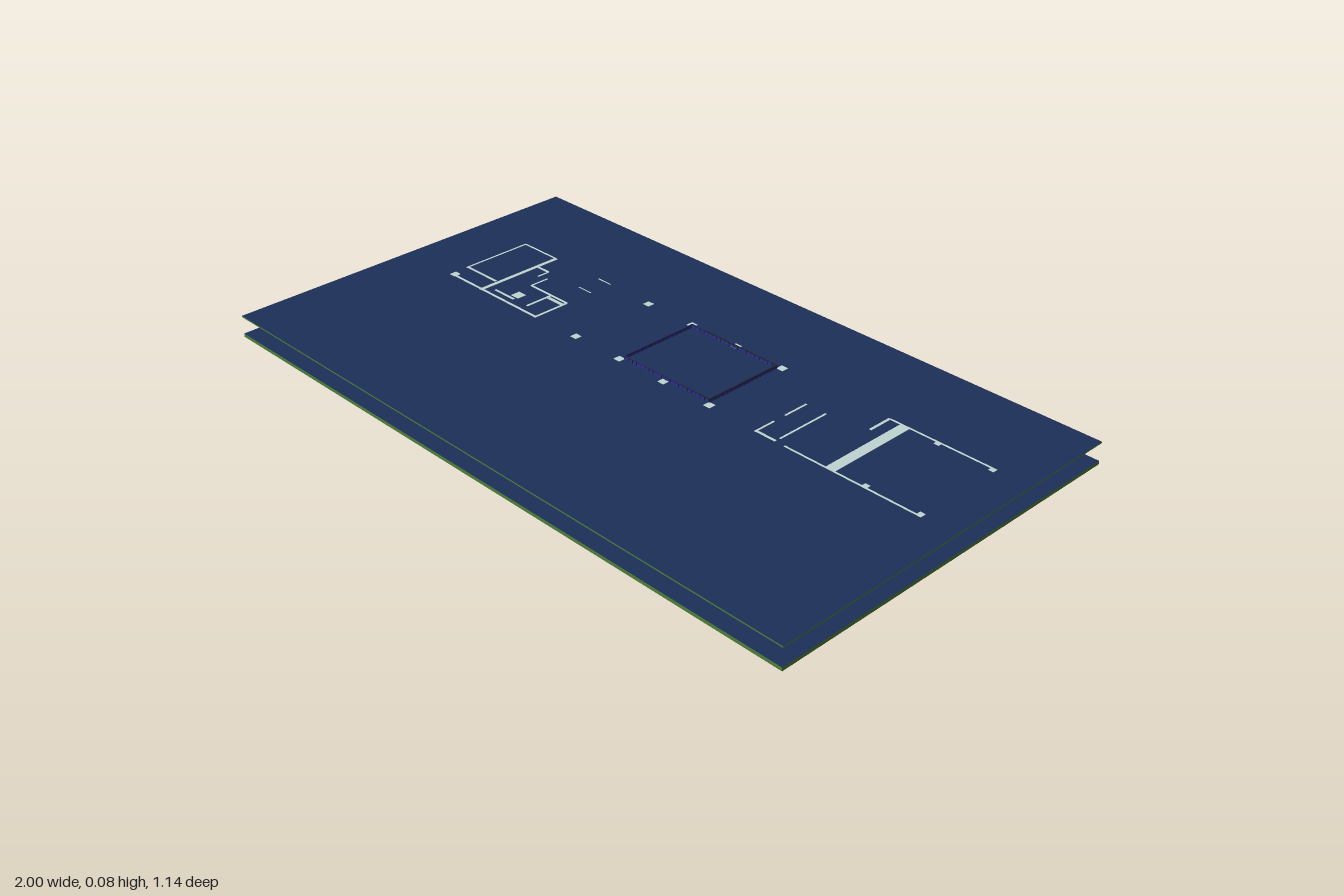
import * as THREE from 'three';

const mat = (color) => new THREE.MeshStandardMaterial({ color });
const navy = mat(0x1c3058), under = mat(0x687874), green = mat(0x4f7f3a);
const pale = mat(0xbfd6d1), teal = mat(0x7fb0a6), dark = mat(0x1d2428);
const glass = mat(0x2c2f9a);

const X0 = -1, X1 = 1, Z0 = -0.573, Z1 = 0.57;     // slab outline
const WX1 = 0.91, WZ1 = 0.28;                      // outer wall limits
const FLOOR = 0.01, ROOF_LOW = 0.061, ROOF = 0.065;
const atrium = [-0.1, 0.21, -0.27, -0.02];

export function createModel() {
  const model = new THREE.Group();

  // Box given by its limits
  const block = (name, x0, x1, y0, y1, z0, z1, material, parent = model) => {
    const mesh = new THREE.Mesh(new THREE.BoxGeometry(x1 - x0, y1 - y0, z1 - z0), material);
    mesh.position.set((x0 + x1) / 2, (y0 + y1) / 2, (z0 + z1) / 2);
    mesh.name = name;
    parent.add(mesh);
    return mesh;
  };

  // Horizontal slab with rectangular openings
  const corners = (x0, x1, z0, z1) =>
    [[x0, -z1], [x1, -z1], [x1, -z0], [x0, -z0]].map(([x, y]) => new THREE.Vector2(x, y));
  const slab = (name, y0, y1, holes, capMaterial) => {
    const shape = new THREE.Shape(corners(X0, X1, Z0, Z1));
    holes.forEach((h) => shape.holes.push(new THREE.Path(corners(...h))));
    const geometry = new THREE.ExtrudeGeometry(shape, { depth: y1 - y0, bevelEnabled: false });
    geometry.rotateX(-Math.PI / 2).translate(0, y0, 0);
    const mesh = new THREE.Mesh(geometry, [capMaterial, green]);
    mesh.name = name;
    model.add(mesh);
  };

  // Floor and roof, each with a pale underside and a dark top
  const openings = [atrium, [0.51, 0.6, -0.245, -0.195], [-0.59, -0.49, -0.32, -0.26]];
  slab('floorUnderside', 0, 0.005, openings, under);
  slab('floorTop', 0.005, FLOOR, openings, navy);
  slab('roofUnderside', ROOF_LOW, 0.063, [], under);
  slab('roofTop', 0.063, ROOF, [], navy);

  // Outer walls
  const shell = new THREE.Group();
  shell.name = 'outerWalls';
  model.add(shell);
  const t = 0.005;
  block('frontWall', X0, WX1, FLOOR, ROOF_LOW, WZ1 - t, WZ1, pale, shell);
  block('backWall', X0, WX1, FLOOR, ROOF_LOW, Z0 + 0.001, Z0 + t, pale, shell);
  block('leftWall', WX1 - t, WX1, FLOOR, ROOF_LOW, Z0 + t, WZ1 - t, pale, shell);
  block('rightWall', X0 + 0.001, X0 + t, FLOOR, ROOF_LOW, Z0 + t, WZ1 - t, pale, shell);

  // Panel joints
  block('frontJoint', -0.347, -0.344, FLOOR, ROOF_LOW, WZ1, WZ1 + 0.0005, dark, shell);
  [0.865, 0.595, 0.23, -0.055, -0.36, -0.71].forEach((x) =>
    block('backJoint', x - 0.0015, x + 0.0015, FLOOR, ROOF_LOW, Z0 + 0.0003, Z0 + 0.001, dark, shell));

  // Glazed openings: teal panel with two dark panes near its foot
  const glazedPanel = (x, z, angle, sill) => {
    const g = new THREE.Group();
    g.name = 'glazedPanel';
    block('panel', -0.018, 0.018, sill, ROOF_LOW, 0, 0.001, teal, g);
    block('sill', -0.018, 0.018, sill, sill + 0.002, 0.001, 0.0016, dark, g);
    block('transom', -0.018, 0.018, sill + 0.014, sill + 0.016, 0.001, 0.0016, dark, g);
    for (const px of [-0.018, -0.001, 0.016])
      block('mullion', px, px + 0.002, sill, sill + 0.016, 0.001, 0.0016, dark, g);
    g.position.set(x, 0, z);
    g.rotation.y = angle;
    model.add(g);
  };
  glazedPanel(-0.83, WZ1, 0, 0.02);
  glazedPanel(-0.84, Z0 + 0.001, Math.PI, 0.02);
  glazedPanel(WX1, 0.02, Math.PI / 2, 0.025);
  glazedPanel(WX1, -0.31, Math.PI / 2, 0.025);

  // Atrium glazing, rising through the roof with closely spaced mullions
  const well = new THREE.Group();
  well.name = 'atriumGlazing';
  model.add(well);
  const [ax0, ax1, az0, az1] = atrium;
  const g = 0.001, top = 0.075;
  for (const z of [az0, az1]) {
    block('glass', ax0, ax1, 0, top, z - g, z + g, glass, well);
    block('topRail', ax0, ax1, top - 0.002, top, z - 0.002, z + 0.002, dark, well);
    for (let i = 0; i <= 20; i++) {
      const x = ax0 + (ax1 - ax0) * i / 20;
      block('mullion', x - g, x + g, 0, top, z - 0.002, z + 0.002, dark, well);
    }
  }
  for (const x of [ax0, ax1]) {
    block('glass', x - g, x + g, 0, top, az0, az1, glass, well);
    block('topRail', x - 0.002, x + 0.002, top - 0.002, top, az0, az1, dark, well);
    for (let i = 1; i < 16; i++) {
      const z = az0 + (az1 - az0) * i / 16;
      block('mullion', x - 0.002, x + 0.002, 0, top, z - g, z + g, dark, well);
    }
  }

  // Core walls, whose tops show flush with the roof: x0, x1, z0, z1
  const cores = new THREE.Group();
  cores.name = 'coreWalls';
  model.add(cores);
  const wallTop = ROOF + 0.0005, w = 0.004;
  const along = (z, x0, x1, h = w) => block('coreWall', x0, x1, FLOOR, wallTop, z - h, z + h, pale, cores);
  const across = (x, z0, z1, h = w) => block('coreWall', x - h, x + h, FLOOR, wallTop, z0, z1, pale, cores);

  // Core on the -x side
  across(-0.805, -0.285, -0.06, 0.003);
  across(-0.67, -0.285, 0, 0.006);
  across(-0.44, -0.12, 0);
  across(-0.59, -0.18, -0.12, 0.003);
  across(-0.62, -0.21, -0.17, 0.003);
  across(-0.505, -0.12, -0.03);
  along(-0.283, -0.805, -0.67, 0.003);
  along(-0.065, -0.805, -0.68);
  along(-0.005, -0.8, -0.44);
  along(-0.12, -0.59, -0.44);
  along(-0.105, -0.5, -0.44, 0.006);
  along(-0.03, -0.64, -0.56);
  along(-0.21, -0.67, -0.62);
  along(-0.285, -0.49, -0.44, 0.002);
  along(-0.21, -0.49, -0.44, 0.002);
  along(-0.055, -0.585, -0.555, 0.015);

  // Core on the +x side
  across(0.625, -0.285, 0, 0.015);
  across(0.575, -0.285, -0.21);
  across(0.385, -0.19, -0.11, 0.003);
  across(0.385, -0.07, 0, 0.003);
  across(0.45, -0.19, -0.02, 0.003);
  along(-0.285, 0.575, 0.9, 0.003);
  along(-0.003, 0.48, 0.9, 0.003);
  along(-0.005, 0.385, 0.45);

  // Columns
  const column = (x, z, s) =>
    block('column', x - s, x + s, FLOOR, wallTop, z - s, z + s, pale);
  for (const z of [-0.28, -0.01]) {
    for (const x of [-0.28, -0.11, 0.055, 0.22]) column(x, z, 0.011);
    for (const x of [0.73, 0.893]) column(x, z, 0.008);
  }
  column(-0.795, -0.01, 0.011);

  return model;
}
